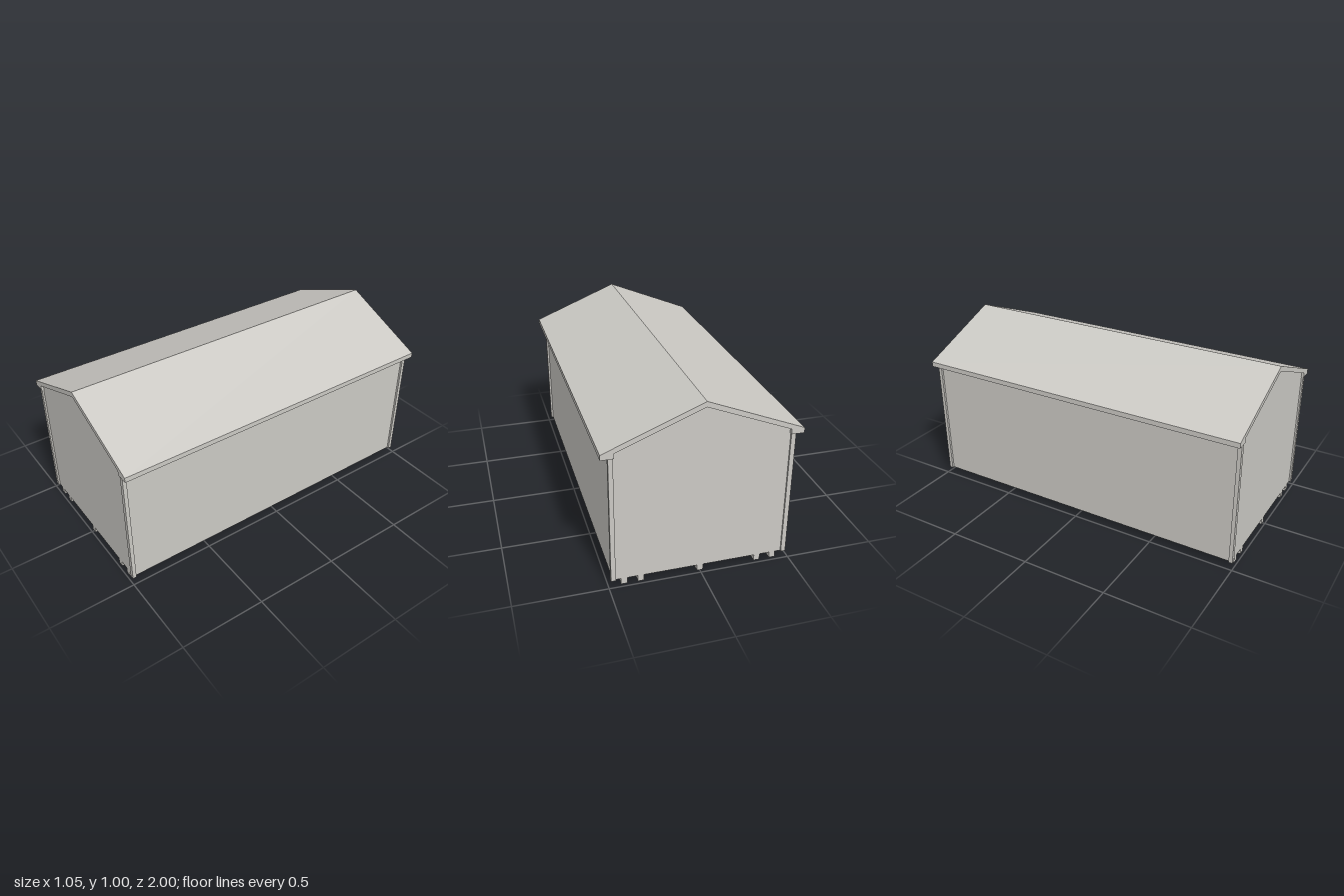
import * as THREE from 'three';

export function createModel() {
  const group = new THREE.Group();
  const paint = new THREE.MeshStandardMaterial({ color: 0xcbc9c4 });
  paint.name = 'pale grey';

  const add = (name, geometry) => {
    const mesh = new THREE.Mesh(geometry, paint);
    mesh.name = name;
    group.add(mesh);
  };
  // Box given by its limits on each axis
  const box = (name, x0, x1, y0, y1, z0, z1) =>
    add(name, new THREE.BoxGeometry(x1 - x0, y1 - y0, z1 - z0)
      .translate((x0 + x1) / 2, (y0 + y1) / 2, (z0 + z1) / 2));
  // Outline in x and y, extruded from z0 to z1
  const slab = (name, points, z0, z1) => {
    const shape = new THREE.Shape(points.map(([x, y]) => new THREE.Vector2(x, y)));
    add(name, new THREE.ExtrudeGeometry(shape, { depth: z1 - z0, bevelEnabled: false })
      .translate(0, 0, z0));
  };

  const base = 0.035, eave = 0.763, wallX = 0.475, trimX = 0.487;
  const front = 0.985, back = -0.98;

  // Pitched roof with boxed eaves, open underneath
  slab('roof', [
    [0, 1.005], [-0.527, 0.792], [-0.527, eave], [-0.457, eave], [-0.457, 0.792],
    [0, 0.975], [0.457, 0.792], [0.457, eave], [0.527, eave], [0.527, 0.792],
  ], -1, 1);

  // Gable walls
  const gable = [[-wallX, base], [wallX, base], [wallX, 0.785], [0, 0.975], [-wallX, 0.785]];
  slab('frontWall', gable, front - 0.01, front);
  slab('backWall', gable, back, back + 0.01);

  for (const s of [-1, 1]) {
    const mirrored = (name, a, b, ...rest) =>
      box(name, Math.min(s * a, s * b), Math.max(s * a, s * b), ...rest);
    mirrored('sideWall', wallX - 0.01, wallX, base, 0.785, back + 0.01, front - 0.01);
    // L-shaped corner boards
    mirrored('frontCornerTrim', 0.462, trimX, base, eave, front, 0.995);
    mirrored('frontSideTrim', wallX, trimX, base, eave, 0.973, front);
    mirrored('backCornerTrim', 0.462, trimX, base, eave, -0.99, back);
    mirrored('backSideTrim', wallX, trimX, base, eave, back, -0.968);
  }

  // Skids under the open floor
  for (const x of [-0.415, -0.325, 0, 0.325, 0.415])
    box('skid', x - 0.0165, x + 0.0165, 0, base, back, front);

  return group;
}
